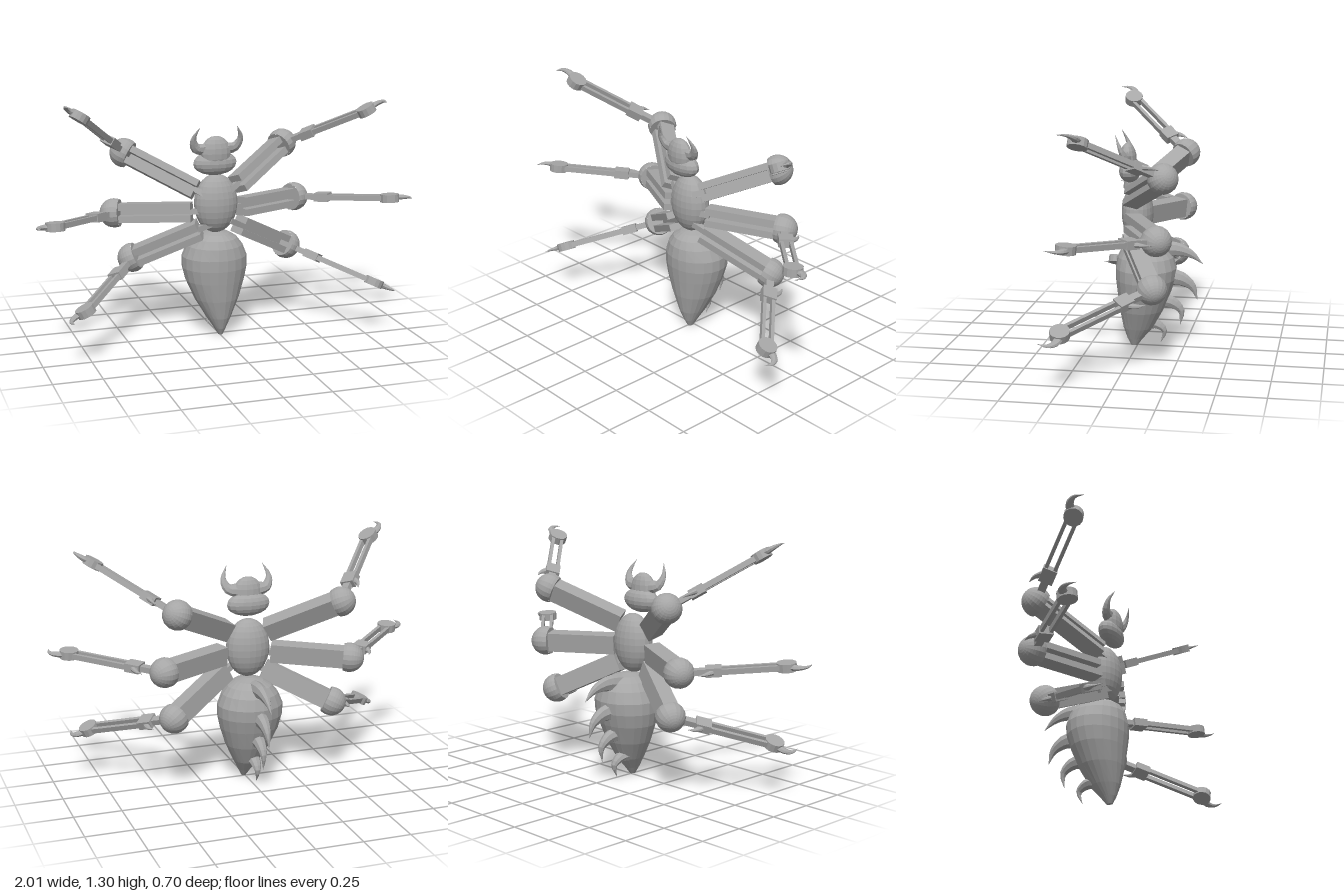
import * as THREE from 'three';

const V = (x, y, z) => new THREE.Vector3(x, y, z);
const grey = new THREE.MeshStandardMaterial({ color: 0xa6a6a6, flatShading: true });
grey.name = 'grey';

function add(parent, geometry, name, x = 0, y = 0, z = 0) {
  const mesh = new THREE.Mesh(geometry, grey);
  mesh.name = name;
  mesh.position.set(x, y, z);
  parent.add(mesh);
  return mesh;
}

// Closed skin over elliptical rings {c: centre, u, v: half axes}, u x v pointing along the loft
function loft(rings, sides) {
  const pos = [], index = [], n = rings.length;
  for (const { c, u, v } of rings) {
    for (let j = 0; j < sides; j++) {
      const a = (j / sides) * Math.PI * 2;
      const p = c.clone().addScaledVector(u, Math.cos(a)).addScaledVector(v, Math.sin(a));
      pos.push(p.x, p.y, p.z);
    }
  }
  const start = n * sides;
  pos.push(...rings[0].c.toArray(), ...rings[n - 1].c.toArray());
  for (let j = 0; j < sides; j++) {
    const k = (j + 1) % sides;
    for (let i = 0; i < n - 1; i++) {
      const a = i * sides + j, b = i * sides + k;
      index.push(a, b, a + sides, b, b + sides, a + sides);
    }
    index.push(start, k, j, start + 1, (n - 1) * sides + j, (n - 1) * sides + k);
  }
  const g = new THREE.BufferGeometry();
  g.setAttribute('position', new THREE.Float32BufferAttribute(pos, 3));
  g.setIndex(index);
  g.computeVertexNormals();
  return g;
}

// Tapering curved claw; side is the direction its width is measured along
function claw(points, side, width, depth, sides = 8) {
  const curve = new THREE.CatmullRomCurve3(points), steps = 9, rings = [];
  for (let i = 0; i <= steps; i++) {
    const t = i / steps, taper = Math.max(0.02, 1 - Math.pow(t, 1.4));
    const v = curve.getTangent(t).cross(side).normalize();
    rings.push({ c: curve.getPoint(t), u: side.clone().multiplyScalar(width * taper), v: v.multiplyScalar(depth * taper) });
  }
  return loft(rings, sides);
}

// Group whose x axis runs along dir and whose y axis is the hinge axis
function frame(name, origin, dir, hinge) {
  const g = new THREE.Group();
  g.name = name;
  g.position.copy(origin);
  const x = dir.clone().normalize();
  const z = x.clone().cross(hinge).normalize();
  const y = z.clone().cross(x);
  g.quaternion.setFromRotationMatrix(new THREE.Matrix4().makeBasis(x, y, z));
  return g;
}

function makeLeg(name, hip, knee, ankle) {
  const leg = new THREE.Group();
  leg.name = name;
  const U = knee.clone().sub(hip), L = ankle.clone().sub(knee);
  const hinge = U.clone().cross(L).normalize();
  const ul = U.length(), ll = L.length();

  // upper leg: channel beam open toward the front, with a ball knee
  const upper = frame('upperLeg', hip, U, hinge);
  const beam = ul - 0.02;
  add(upper, new THREE.BoxGeometry(beam, 0.1, 0.025), 'beamBack', beam / 2, 0, 0.03);
  for (const s of [-1, 1]) {
    add(upper, new THREE.BoxGeometry(beam, 0.036, 0.06), 'beamRail', beam / 2, s * 0.032, -0.012);
  }
  add(upper, new THREE.BoxGeometry(0.08, 0.03, 0.03), 'hipPin', -0.03, 0, 0.01);
  const r = 0.078, cut = 0.03;
  add(upper, new THREE.SphereGeometry(r, 18, 10, 0, Math.PI * 2, 0, Math.acos(-cut / r)).rotateZ(-Math.PI / 2), 'kneeBall', ul);
  add(upper, new THREE.CircleGeometry(Math.sqrt(r * r - cut * cut), 18).rotateY(-Math.PI / 2), 'kneeFace', ul - cut);

  // lower leg: short link, bracket, twin rails, round ankle and claw
  const lower = frame('lowerLeg', knee, L, hinge);
  add(lower, new THREE.BoxGeometry(0.16, 0.03, 0.04), 'kneeLink', 0.08, 0, 0);
  add(lower, new THREE.BoxGeometry(0.08, 0.045, 0.075), 'bracket', 0.17, 0, 0);
  add(lower, claw([V(0.16, 0, 0.03), V(0.13, 0, 0.06), V(0.09, 0, 0.075)], V(0, 1, 0), 0.014, 0.018), 'bracketHook');
  for (const s of [-1, 1]) {
    add(lower, new THREE.BoxGeometry(ll - 0.2, 0.028, 0.018), 'lowerRail', (ll + 0.2) / 2, 0, s * 0.024);
  }
  add(lower, new THREE.CylinderGeometry(0.05, 0.05, 0.042, 14), 'ankleDisc', ll);
  add(lower, claw([V(ll + 0.01, 0, 0.015), V(ll + 0.055, 0, 0.042), V(ll + 0.095, 0, 0.035), V(ll + 0.125, 0, -0.005)],
    V(0, 1, 0), 0.017, 0.025), 'footClaw');
  leg.add(upper, lower);
  return leg;
}

export function createModel() {
  const model = new THREE.Group();
  model.name = 'robotInsect';

  // thorax
  add(model, new THREE.SphereGeometry(1, 22, 14).scale(0.118, 0.157, 0.083), 'thorax', -0.015, 0.722, 0.003);

  // abdomen: [height, half width, front z, back z]
  const body = [
    [0.002, 0.012, 0.035, 0.0], [0.04, 0.033, 0.055, -0.03], [0.1, 0.068, 0.076, -0.082], [0.2, 0.121, 0.096, -0.138],
    [0.3, 0.159, 0.109, -0.178], [0.37, 0.175, 0.117, -0.2], [0.43, 0.175, 0.118, -0.206], [0.49, 0.15, 0.108, -0.19],
    [0.53, 0.118, 0.088, -0.16], [0.555, 0.075, 0.055, -0.115], [0.568, 0.025, 0.01, -0.055],
  ];
  add(model, loft(body.map(([y, w, f, b]) => ({
    c: V(-0.01 + 0.015 * Math.max(0, 1 - y / 0.3), y, (f + b) / 2), u: V(w, 0, 0), v: V(0, 0, -(f - b) / 2),
  })), 22), 'abdomen');

  // row of curved spines down the back: [y, z] centre lines
  const spines = [
    [0.05, [0.52, -0.1], [0.53, -0.2], [0.508, -0.28], [0.456, -0.345]],
    [0.05, [0.38, -0.14], [0.37, -0.23], [0.33, -0.29], [0.26, -0.317]],
    [0.042, [0.25, -0.1], [0.24, -0.18], [0.195, -0.232], [0.117, -0.226]],
    [0.034, [0.12, -0.04], [0.115, -0.1], [0.08, -0.142], [0.014, -0.122]],
  ];
  for (const [depth, ...pts] of spines) {
    add(model, claw(pts.map(([y, z]) => V(-0.02, y, z)), V(1, 0, 0), 0.04, depth), 'backSpine');
  }

  // head with a wide jaw, narrower crown and two curved horns
  const head = new THREE.Group();
  head.name = 'head';
  head.position.x = -0.033;
  add(head, new THREE.SphereGeometry(1, 16, 10).scale(0.118, 0.064, 0.057), 'jaw', 0, 0.946, 0.045);
  add(head, new THREE.SphereGeometry(1, 14, 10).scale(0.082, 0.09, 0.045), 'crown', 0, 1.0, 0.058);
  for (const s of [-1, 1]) {
    const pts = [V(s * 0.05, 1.02, 0.055), V(s * 0.105, 1.03, 0.06), V(s * 0.127, 1.08, 0.08), V(s * 0.1, 1.145, 0.108)];
    const side = V(0, -0.4, 1).normalize();
    add(head, claw(pts, side, 0.025, 0.036), 'horn');
  }
  model.add(head);

  // legs
  const legs = [
    ['leftFrontLeg', V(0.1, 0.82, 0.02), V(0.425, 0.984, -0.195), V(0.765, 1.2, 0.155)],
    ['rightFrontLeg', V(-0.13, 0.803, 0.02), V(-0.457, 0.98, -0.195), V(-0.762, 1.238, 0.15)],
    ['leftMiddleLeg', V(0.125, 0.695, 0.01), V(0.49, 0.685, -0.173), V(0.9, 0.725, 0.187)],
    ['rightMiddleLeg', V(-0.15, 0.685, 0.01), V(-0.522, 0.665, -0.173), V(-0.905, 0.705, 0.187)],
    ['leftRearLeg', V(0.11, 0.6, 0.02), V(0.436, 0.425, -0.143), V(0.797, 0.283, 0.245)],
    ['rightRearLeg', V(-0.11, 0.59, 0.02), V(-0.436, 0.422, -0.143), V(-0.778, 0.277, 0.255)],
  ];
  for (const l of legs) model.add(makeLeg(...l));
  return model;
}
